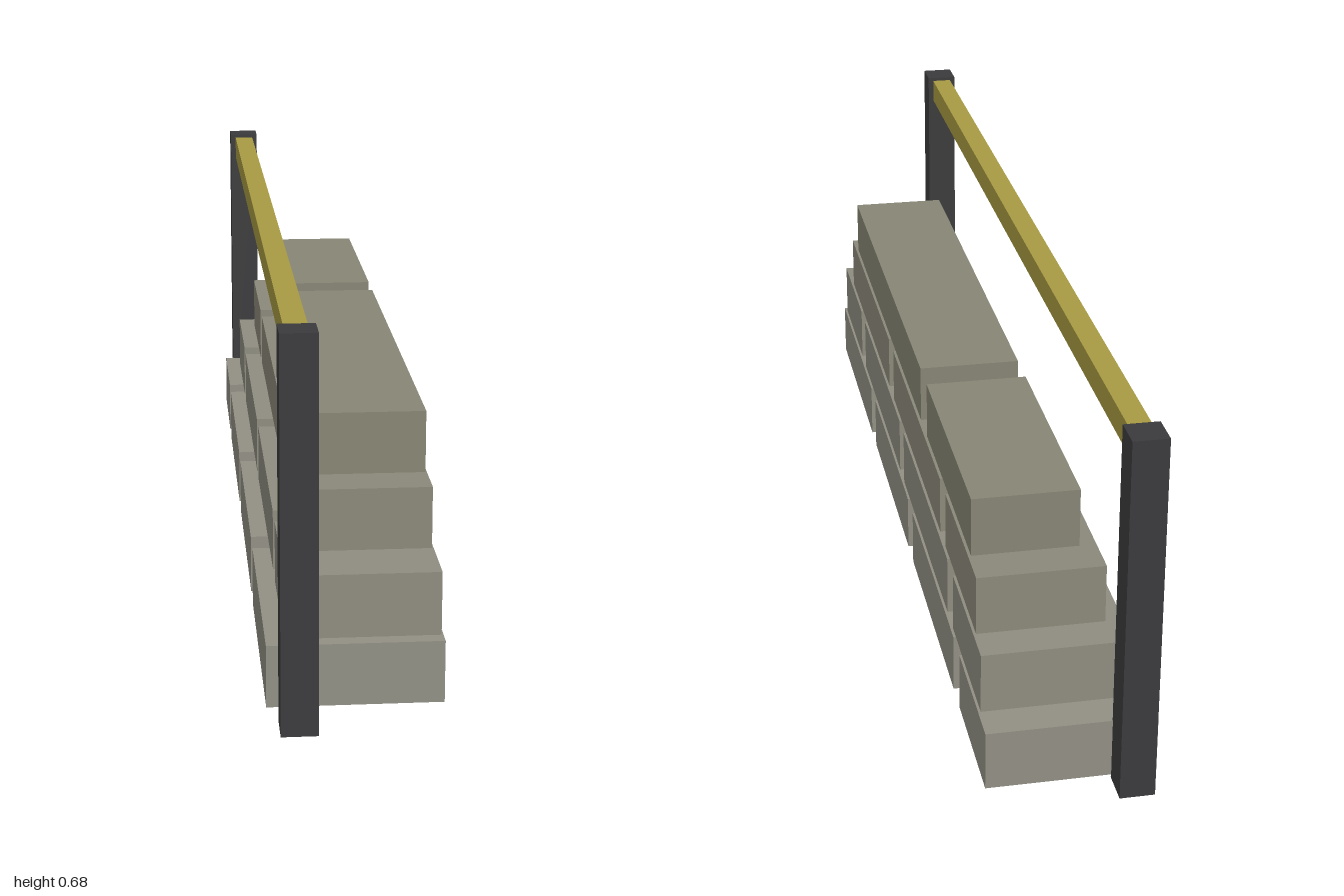
import * as THREE from 'three';

const material = (color) => new THREE.MeshStandardMaterial({ color });

// Box given by its minimum and maximum on each axis
function box(name, [x0, x1], [y0, y1], [z0, z1], mat) {
  const mesh = new THREE.Mesh(new THREE.BoxGeometry(x1 - x0, y1 - y0, z1 - z0), mat);
  mesh.name = name;
  mesh.position.set((x0 + x1) / 2, (y0 + y1) / 2, (z0 + z1) / 2);
  return mesh;
}

export function createModel() {
  const model = new THREE.Group();
  model.name = 'stoneWallWithRail';

  // Stepped courses of stone blocks, bottom to top; each span is a block's z range
  const courses = [
    { x: [-0.15, 0.15], y: [0.007, 0.117], color: 0x929084,
      spans: [[0.43, 0.898], [-0.1, 0.368], [-0.632, -0.162], [-0.94, -0.692]] },
    { x: [-0.118, 0.146], y: [0.119, 0.231], color: 0x8f8d80,
      spans: [[0.606, 0.876], [0.027, 0.547], [-0.547, -0.027], [-0.876, -0.606]] },
    { x: [-0.085, 0.142], y: [0.234, 0.344], color: 0x8b897a,
      spans: [[0.192, 0.769], [-0.449, 0.129], [-0.811, -0.508]] },
    { x: [-0.053, 0.138], y: [0.348, 0.458], color: 0x878574,
      spans: [[-0.208, 0.7], [-0.742, -0.28]] },
  ];
  courses.forEach(({ x, y, color, spans }, i) => {
    const course = new THREE.Group();
    course.name = `stoneCourse${i + 1}`;
    const mat = material(color);
    spans.forEach((z) => course.add(box('stoneBlock', x, y, z, mat)));
    model.add(course);
  });

  // End posts
  const postMat = material(0x3b3b3d);
  model.add(box('frontPost', [-0.132, -0.07], [0, 0.677], [0.938, 1], postMat));
  model.add(box('backPost', [-0.132, -0.07], [0, 0.677], [-1, -0.938], postMat));

  // Yellow rail between the posts
  model.add(box('rail', [-0.121, -0.081], [0.622, 0.67], [-0.94, 0.94], material(0xa89a42)));

  return model;
}
